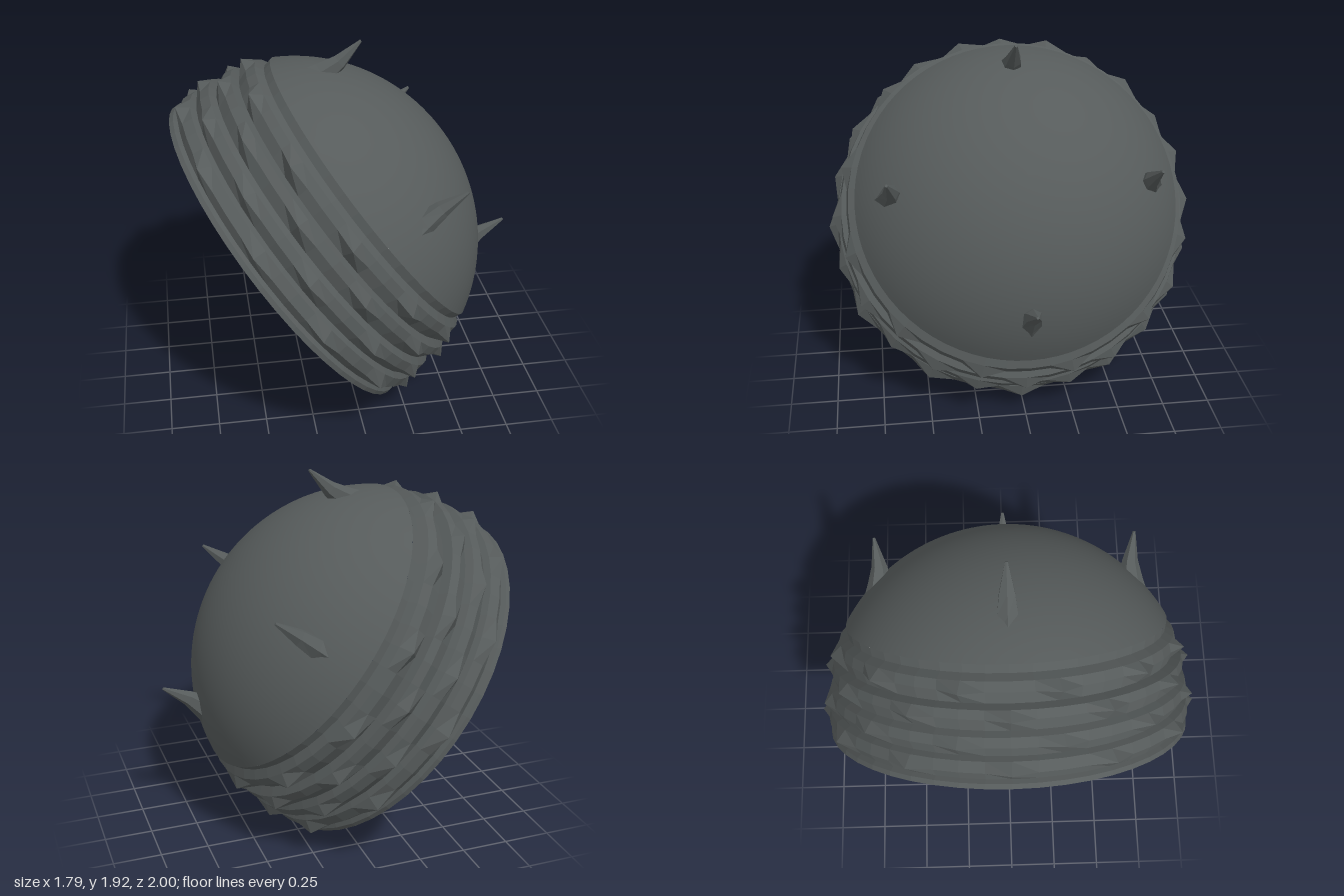
import * as THREE from 'three';

const mat = (name, color) => {
  const m = new THREE.MeshStandardMaterial({ color });
  m.name = name;
  return m;
};

const v2 = (r, y) => new THREE.Vector2(r, y);

// Faceted copy with one normal per face
const faceted = (geo) => {
  const g = geo.toNonIndexed();
  g.computeVertexNormals();
  return g;
};

// Points on a sphere profile between two heights
function arc(radius, centre, y0, y1, n) {
  const a0 = Math.asin((y0 - centre) / radius), a1 = Math.asin((y1 - centre) / radius);
  return Array.from({ length: n + 1 }, (_, i) => {
    const a = a0 + (a1 - a0) * i / n;
    return v2(Math.max(0, radius * Math.cos(a)), centre + radius * Math.sin(a));
  });
}

// Ridged rings: each ridge carries twelve teeth, staggered from row to row
function bandGeometry() {
  // [height, radius, tooth length, stagger]
  const profile = [
    [0, 0.954], [0.025, 0.952], [0.04, 0.93],
    [0.08, 0.96, 0.04, 0], [0.135, 0.95], [0.15, 0.918],
    [0.2, 0.95, 0.035, 2], [0.25, 0.942], [0.27, 0.905],
    [0.33, 0.93, 0.04, 0], [0.375, 0.92], [0.39, 0.87],
    [0.45, 0.89, 0.048, 2], [0.5, 0.88], [0.525, 0.835], [0.57, 0.843],
  ];
  const segments = 48;
  const geo = new THREE.LatheGeometry(profile.map(([y, r]) => v2(r, y)), segments);
  const pos = geo.attributes.position;
  for (let i = 0; i <= segments; i++) {
    profile.forEach(([, r, tooth, stagger], j) => {
      if (!tooth || i % 4 !== stagger) return;
      const k = i * profile.length + j, s = (r + tooth) / r;
      pos.setXYZ(k, pos.getX(k) * s, pos.getY(k), pos.getZ(k) * s);
    });
  }
  return faceted(geo);
}

// Six-sided horn rising parallel to the dome axis, leaning on its outer edge
function hornGeometry() {
  // [height, centre, radial half width, sideways half width]
  const sections = [
    [0.68, 0.665, 0.085, 0.06], [0.76, 0.66, 0.063, 0.057],
    [0.86, 0.655, 0.041, 0.043], [1.01, 0.675, 0.007, 0.008],
  ];
  const sides = 6;
  const geo = new THREE.CylinderGeometry(1, 1, 1, sides, sections.length - 1);
  const pos = geo.attributes.position;
  for (let i = 0; i < pos.count; i++) {
    const row = Math.round((pos.getY(i) + 0.5) * (sections.length - 1));
    const [y, c, rad, side] = sections[row];
    pos.setXYZ(i, c + pos.getZ(i) * rad, y, -pos.getX(i) * side);
  }
  return faceted(geo);
}

export function createModel() {
  const shell = mat('slate shell', 0x565b5b);
  const rimGrey = mat('rim grey', 0x7a7676);
  const pale = mat('pale lining', 0xe4e4e4);

  const model = new THREE.Group();
  model.name = 'spikedDome';
  const tilted = new THREE.Group();
  tilted.name = 'tiltedShell';
  tilted.position.set(-0.32, 0.765, 0);
  tilted.rotation.z = -0.93;
  model.add(tilted);

  const add = (name, geo, material, parent = tilted) => {
    const mesh = new THREE.Mesh(geo, material);
    mesh.name = name;
    parent.add(mesh);
    return mesh;
  };

  // Outer dome and toothed bands
  add('dome', new THREE.LatheGeometry(arc(0.98, 0.07, 0.57, 1.05, 24), 72), shell);
  add('toothedBands', bandGeometry(), shell);

  // Open underside: rim, inner wall and lining
  add('rim', new THREE.LatheGeometry([v2(0.89, 0), v2(0.954, 0)], 48), rimGrey);
  add('innerWall', new THREE.LatheGeometry(
    [v2(0.85, 0.28), v2(0.885, 0.1), v2(0.865, 0.03), v2(0.89, 0.03), v2(0.89, 0)], 48), shell);
  add('lining', new THREE.LatheGeometry(arc(0.89, 0.016, 0.28, 0.906, 16).reverse(), 48), pale);

  // Four horns around the crown
  const horn = hornGeometry();
  for (let i = 0; i < 4; i++) {
    add('horn', horn, shell).rotation.y = i * Math.PI / 2;
  }
  return model;
}
